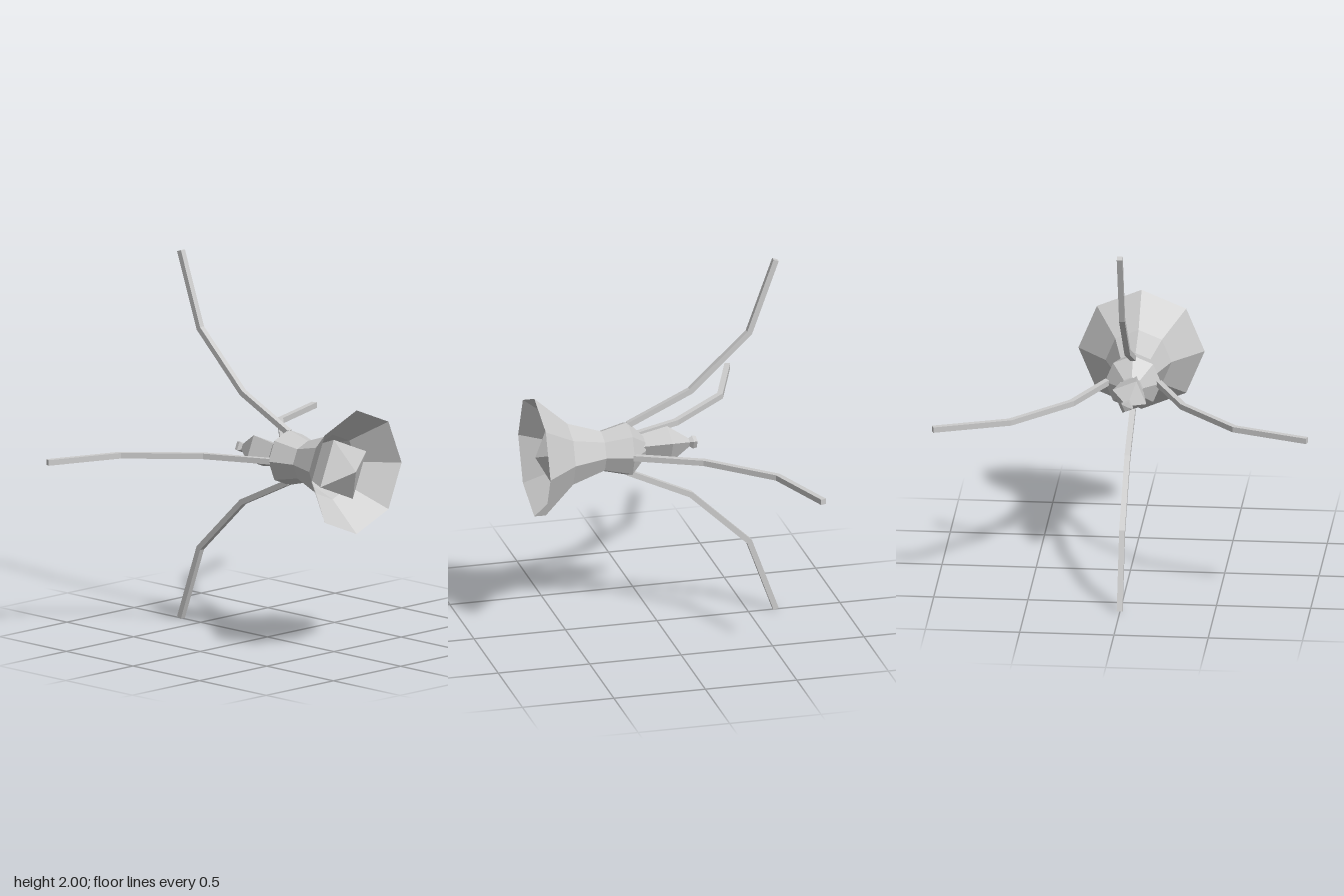
import * as THREE from 'three';

const material = new THREE.MeshStandardMaterial({ color: 0xcccccc, flatShading: true });
const shellMaterial = new THREE.MeshStandardMaterial({
  color: 0xcccccc, flatShading: true, side: THREE.DoubleSide,
});

// Faceted solid of revolution along z; profile is [radius, z] from back to front.
function turned(name, profile, sides, startAngle, mat) {
  const points = profile.map(([r, z]) => new THREE.Vector2(r, z));
  const geometry = new THREE.LatheGeometry(points, sides, startAngle);
  geometry.rotateX(Math.PI / 2);
  const mesh = new THREE.Mesh(geometry, mat);
  mesh.name = name;
  return mesh;
}

// Square bar following a bent [radius, z] path, with mitred joints.
function barGeometry(path, width) {
  const pts = path.map(([r, z]) => new THREE.Vector2(r, z));
  const normals = pts.slice(1).map((p, i) => {
    const d = p.clone().sub(pts[i]).normalize();
    return new THREE.Vector2(-d.y, d.x);
  });
  const offset = (side) => pts.map((p, i) => {
    const a = normals[Math.max(i - 1, 0)];
    const b = normals[Math.min(i, normals.length - 1)];
    const mitre = a.clone().add(b).normalize();
    return p.clone().addScaledVector(mitre, (side * width) / 2 / mitre.dot(a));
  });
  const shape = new THREE.Shape([...offset(1), ...offset(-1).reverse()]);
  const geometry = new THREE.ExtrudeGeometry(shape, { depth: width, bevelEnabled: false });
  geometry.translate(0, 0, -width / 2);
  geometry.rotateX(Math.PI / 2);
  return geometry;
}

export function createModel() {
  const group = new THREE.Group();
  const body = new THREE.Group();
  body.name = 'body';
  body.position.y = 1;
  group.add(body);

  // Eight-sided flared bell
  body.add(turned('bell', [
    [0.06, 0.075], [0.15, 0.16], [0.112, 0.305], [0.175, 0.49], [0.335, 0.67],
  ], 8, 0, shellMaterial));

  // Four-sided core: pointed nose inside the bell, bulb and knob at the back
  body.add(turned('core', [
    [0, -0.222], [0.03, -0.215], [0.035, -0.195], [0.022, -0.175],
    [0.097, -0.065], [0.068, 0.08], [0.08, 0.3], [0.185, 0.57], [0, 0.665],
  ], 4, Math.PI / 8, material));

  // Four bent arms sweeping outward and back
  const arm = barGeometry([[0.135, 0.16], [0.295, -0.183], [0.595, -0.503], [0.993, -0.648]], 0.03);
  ['leftArm', 'topArm', 'rightArm', 'bottomArm'].forEach((name, i) => {
    const mesh = new THREE.Mesh(arm, material);
    mesh.name = name;
    mesh.rotation.z = (i * Math.PI) / 2;
    body.add(mesh);
  });

  return group;
}
